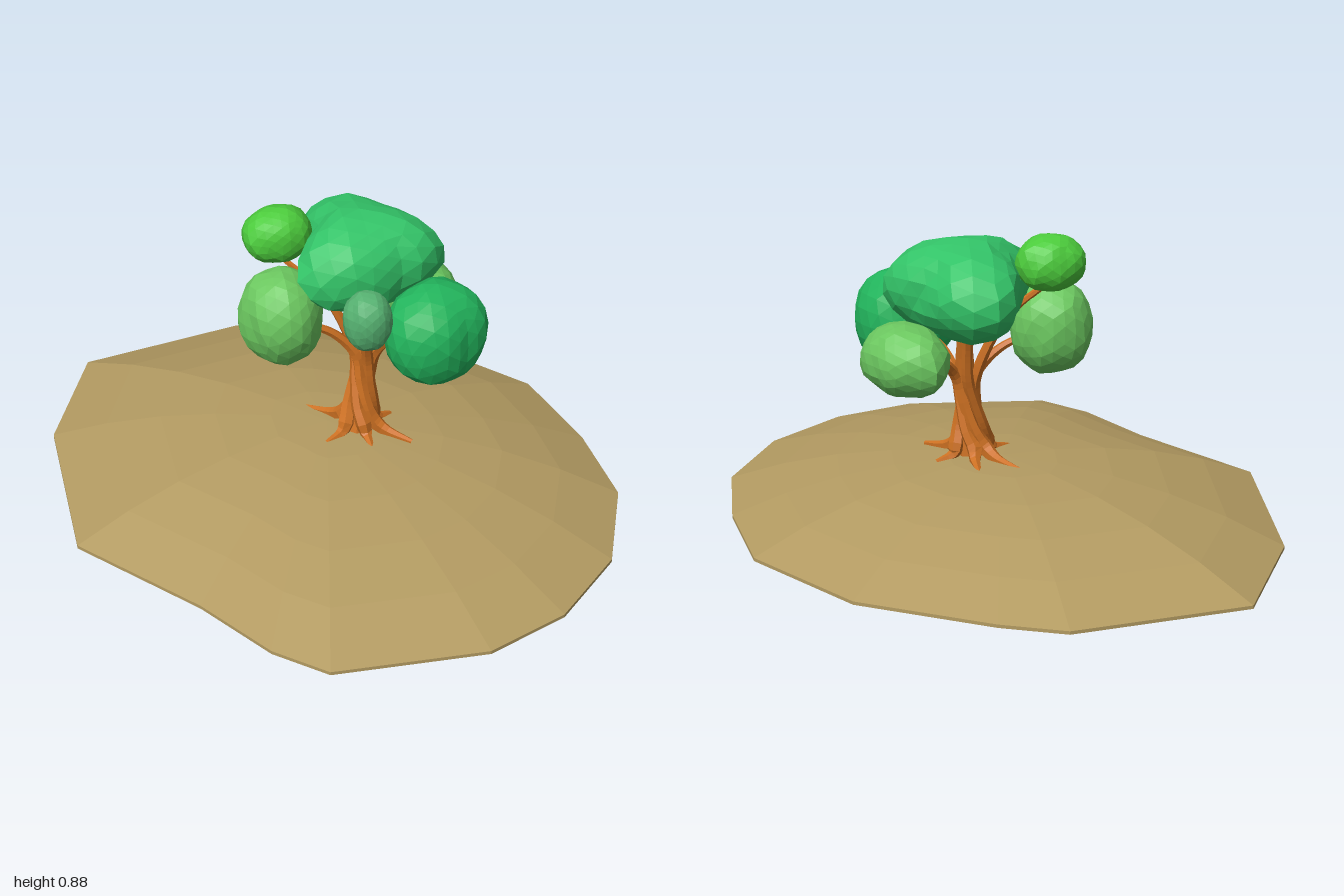
import * as THREE from 'three';

const mat = (color) => new THREE.MeshStandardMaterial({ color, flatShading: true });

function addMesh(parent, name, geometry, material) {
  const mesh = new THREE.Mesh(geometry, material);
  mesh.name = name;
  parent.add(mesh);
  return mesh;
}

// Low mound: rings of an irregular outline, closed by a thin rim and a flat base
function moundGeometry() {
  const outline = [
    [-0.12, -1], [0.39, -0.84], [0.52, -0.69], [0.75, -0.33], [0.81, 0.1],
    [0.69, 0.43], [0.53, 0.71], [0.25, 0.92], [-0.05, 1], [-0.32, 0.97],
    [-0.7, 0.73], [-0.75, 0.55], [-0.75, 0.26], [-0.81, -0.21], [-0.48, -0.73],
  ];
  const n = outline.length;
  const rings = [0, 0.2, 0.4, 0.6, 0.8, 1].map((t) => [t, 0.01 + 0.17 * (1 - t ** 2.2)]);
  rings.push([1, 0], [0, 0]);
  const positions = [];
  const index = [];
  for (const [t, y] of rings) for (const [x, z] of outline) positions.push(x * t, y, z * t);
  for (let r = 0; r < rings.length - 1; r++) {
    for (let i = 0; i < n; i++) {
      const a = r * n + i, b = r * n + (i + 1) % n;
      const c = a + n, d = b + n;
      if (r > 0) index.push(a, b, d);
      if (r < rings.length - 2) index.push(a, d, c);
    }
  }
  const g = new THREE.BufferGeometry();
  g.setAttribute('position', new THREE.Float32BufferAttribute(positions, 3));
  g.setIndex(index);
  g.computeVertexNormals();
  return g;
}

// Tube along a smooth path whose radius changes from root to tip
function taperedTube(points, radii, segments, sides) {
  const curve = new THREE.CatmullRomCurve3(points.map((p) => new THREE.Vector3(...p)));
  const g = new THREE.TubeGeometry(curve, segments, 1, sides, false);
  const pos = g.attributes.position;
  const v = new THREE.Vector3();
  for (let i = 0; i < pos.count; i++) {
    const u = Math.floor(i / (sides + 1)) / segments;
    const centre = curve.getPointAt(u);
    const f = curve.getUtoTmapping(u) * (radii.length - 1);
    const k = Math.min(Math.floor(f), radii.length - 2);
    const r = THREE.MathUtils.lerp(radii[k], radii[k + 1], f - k);
    v.fromBufferAttribute(pos, i).sub(centre).multiplyScalar(r).add(centre);
    pos.setXYZ(i, v.x, v.y, v.z);
  }
  g.computeVertexNormals();
  return g;
}

// Faceted foliage clump; plan gives the radius at even compass angles, from +x towards +z
function clumpGeometry(height, plan, seed) {
  const g = new THREE.IcosahedronGeometry(1, 3);
  const pos = g.attributes.position;
  const n = plan.length;
  const mean = plan.reduce((a, b) => a + b) / n;
  for (let i = 0; i < pos.count; i++) {
    const x = pos.getX(i), y = pos.getY(i), z = pos.getZ(i);
    const f = ((Math.atan2(z, x) / (2 * Math.PI) + 1) % 1) * n;
    const k = Math.floor(f) % n;
    const r = THREE.MathUtils.lerp(plan[k], plan[(k + 1) % n], f - Math.floor(f));
    const bump = 1 + 0.035 * Math.sin(x * 5 + seed) * Math.cos(y * 4 + z * 6 + seed * 2);
    // Fade the plan towards a plain average at the poles
    const w = THREE.MathUtils.lerp(mean, r, Math.min(1, Math.hypot(x, z) * 1.5));
    pos.setXYZ(i, x * w * bump, Math.sign(y) * Math.abs(y) ** 0.9 * height * bump, z * w * bump);
  }
  g.computeVertexNormals();
  return g;
}

export function createModel() {
  const model = new THREE.Group();
  model.name = 'treeOnMound';
  addMesh(model, 'mound', moundGeometry(), mat(0xb39b62));

  // Trunk: a core wrapped by twisted strands that run from a root to a branch
  const bark = mat(0xcc7022);
  const trunk = new THREE.Group();
  trunk.name = 'trunk';
  model.add(trunk);
  addMesh(trunk, 'trunkCore', taperedTube(
    [[0.05, 0.15, 0.08], [0.06, 0.24, 0.08], [0.07, 0.34, 0.08], [0.08, 0.45, 0.08], [0.1, 0.6, 0.05]],
    [0.055, 0.038, 0.028, 0.03, 0.02], 12, 7), bark);

  // Each row: root tip x, z, then branch tip x, y, z
  const strands = [
    [-0.09, 0.08, 0.16, 0.68, -0.06],
    [0.0, 0.19, -0.09, 0.74, -0.12],
    [0.11, 0.25, -0.13, 0.56, -0.03],
    [0.18, 0.09, -0.06, 0.62, 0.22],
    [0.13, -0.06, 0.13, 0.54, 0.29],
    [0.02, -0.12, 0.3, 0.53, 0.04],
  ];
  const levels = [[0.205, 0.055, 0], [0.26, 0.036, 0.5], [0.34, 0.024, 1.3], [0.42, 0.03, 2]];
  for (const [rx, rz, bx, by, bz] of strands) {
    const start = Math.atan2(rz - 0.08, rx - 0.06);
    const path = [[rx, 0.168, rz], [0.5 * rx + 0.03, 0.182, 0.5 * rz + 0.04]];
    for (const [y, r, twist] of levels) {
      const cx = 0.055 + (y - 0.2) * 0.1;
      path.push([cx + r * Math.cos(start + twist), y, 0.08 + r * Math.sin(start + twist)]);
    }
    path.push([0.45 * bx + 0.042, 0.55 * by + 0.2, 0.45 * bz + 0.044], [bx, by, bz]);
    addMesh(trunk, 'rootAndBranch', taperedTube(path,
      [0.008, 0.018, 0.025, 0.02, 0.018, 0.018, 0.013, 0.008], 30, 6), bark);
  }

  // Foliage: name, colour, centre, half height, plan radii
  const clumps = [
    ['mainCanopy', 0x33c468, [0.11, 0.715, 0.02], 0.15, [
      0.18, 0.21, 0.255, 0.22, 0.18, 0.19, 0.205, 0.235,
      0.24, 0.18, 0.155, 0.175, 0.235, 0.265, 0.23, 0.185]],
    ['frontClump', 0x22b45c, [0.135, 0.565, 0.315], 0.155, [0.16, 0.15, 0.13, 0.145, 0.165, 0.155, 0.135, 0.17]],
    ['rightClump', 0x6cc860, [-0.135, 0.577, -0.05], 0.147, [0.12, 0.12, 0.125, 0.125, 0.12, 0.13, 0.13, 0.12]],
    ['leftClump', 0x6cc860, [0.32, 0.53, 0.04], 0.106, [0.108, 0.135, 0.16, 0.135, 0.11, 0.13, 0.16, 0.125]],
    ['topClump', 0x4ccc3c, [-0.075, 0.795, -0.13], 0.085, [0.105, 0.1, 0.085, 0.085, 0.105, 0.105, 0.085, 0.085]],
    ['smallClump', 0x55b070, [-0.06, 0.642, 0.225], 0.092, [0.07, 0.072, 0.075, 0.072, 0.07, 0.072, 0.075, 0.072]],
  ];
  clumps.forEach(([name, color, centre, height, plan], i) => {
    addMesh(model, name, clumpGeometry(height, plan, i * 1.7), mat(color)).position.set(...centre);
  });
  return model;
}
